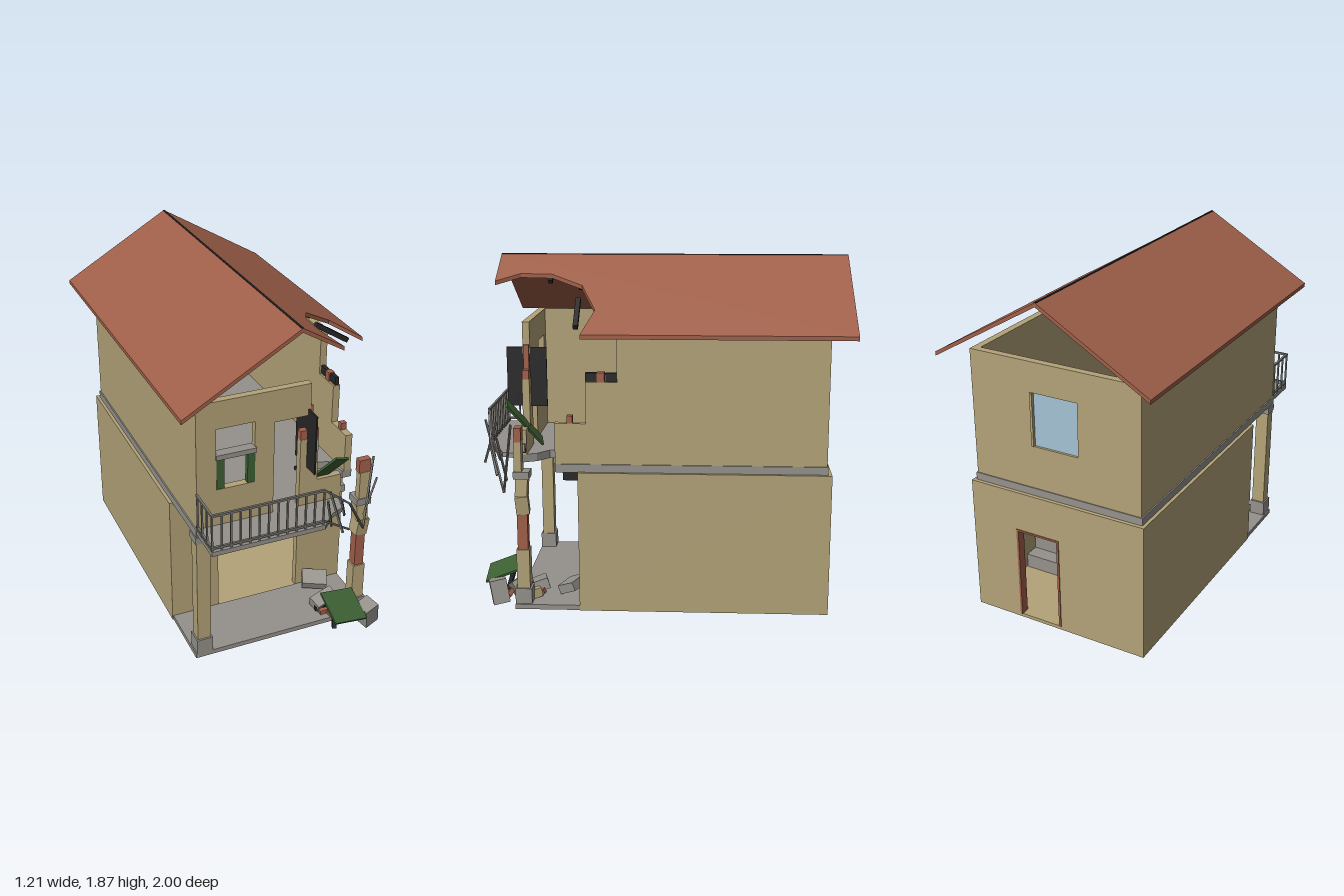
import * as THREE from 'three';

const mat = (name, color, side = THREE.FrontSide) => {
  const m = new THREE.MeshStandardMaterial({ color, side });
  m.name = name;
  return m;
};

export function createModel() {
  const root = new THREE.Group();
  const plaster = mat('plaster', 0xb3a378);
  const tile = mat('roofTile', 0x9f5f49);
  const brick = mat('brick', 0xa3604a);
  const stone = mat('stone', 0x95928c);
  const metal = mat('metal', 0x77756f);
  const green = mat('greenPaint', 0x3d6033);
  const black = mat('charredWood', 0x272727);
  const glass = mat('glass', 0xa5c2d6);

  const add = (name, geo, m) => {
    const mesh = new THREE.Mesh(geo, m);
    mesh.name = name;
    root.add(mesh);
    return mesh;
  };
  // Box given by its ranges on each axis
  const box = (name, m, x0, x1, y0, y1, z0, z1) => {
    const b = add(name, new THREE.BoxGeometry(x1 - x0, y1 - y0, z1 - z0), m);
    b.position.set((x0 + x1) / 2, (y0 + y1) / 2, (z0 + z1) / 2);
    return b;
  };
  // Box given by centre, size and tilt
  const chunk = (name, m, p, s, r) => {
    const b = add(name, new THREE.BoxGeometry(...s), m);
    b.position.set(...p);
    b.rotation.set(...r);
    return b;
  };
  // Square bar between two points
  const bar = (name, m, a, b, w = 0.009, h = w) => {
    const p = new THREE.Vector3(...a), q = new THREE.Vector3(...b);
    const mesh = add(name, new THREE.BoxGeometry(w, h, p.distanceTo(q)), m);
    mesh.position.copy(p).lerp(q, 0.5);
    mesh.lookAt(q);
    return mesh;
  };
  const extrude = (pts, depth, holes = []) => {
    const shape = new THREE.Shape(pts.map(([x, y]) => new THREE.Vector2(x, y)));
    for (const [x0, x1, y0, y1] of holes) {
      shape.holes.push(new THREE.Path([[x0, y0], [x0, y1], [x1, y1], [x1, y0]].map(([x, y]) => new THREE.Vector2(x, y))));
    }
    return new THREE.ExtrudeGeometry(shape, { depth, bevelEnabled: false });
  };
  // Wall facing z, outlined in x and y
  const wallZ = (name, pts, z0, t, holes) => add(name, extrude(pts, t, holes).translate(0, 0, z0), plaster);
  // Horizontal slab, outlined in x and z
  const slab = (pts, y0, t) => extrude(pts.map(([x, z]) => [x, -z]), t).rotateX(-Math.PI / 2).translate(0, y0, 0);

  // Ground floor
  box('groundFloor', plaster, -0.515, 0.515, 0, 0.02, -0.9, 0.43);
  for (const s of [-1, 1]) {
    const x = s * 0.495;
    box('lowerSideWall', plaster, x - 0.02, x + 0.02, 0.02, 0.77, -0.9, 0.43);
  }
  wallZ('lowerFrontWall', [[-0.475, 0.02], [-0.24, 0.02], [-0.24, 0.6], [0.24, 0.6], [0.24, 0.02], [0.475, 0.02], [0.475, 0.77], [-0.475, 0.77]], 0.39, 0.04);
  wallZ('lowerBackWall', [[-0.475, 0.02], [-0.015, 0.02], [-0.015, 0.545], [0.24, 0.545], [0.24, 0.02], [0.475, 0.02], [0.475, 0.77], [-0.475, 0.77]], -0.9, 0.04);
  for (const x of [-0.017, 0.23]) box('backDoorFrame', brick, x, x + 0.012, 0.02, 0.545, -0.905, -0.855);
  box('backDoorHead', brick, -0.017, 0.242, 0.54, 0.55, -0.905, -0.855);
  for (let i = 0; i < 9; i++) {
    box('stairStep', stone, 0.245, 0.47, i * 0.083 + 0.02, (i + 1) * 0.083 + 0.02, -0.5 + i * 0.085, -0.39 + i * 0.085);
  }

  // Porch
  box('porchSlab', stone, -0.51, 0.51, 0, 0.027, 0.43, 0.78);
  for (const x of [-0.458, 0.455]) {
    box('postBase', stone, x - 0.045, x + 0.045, 0, 0.113, 0.69, 0.78);
    box('postCap', stone, x - 0.043, x + 0.043, 0.725, 0.765, 0.69, 0.775);
  }
  box('leftPost', plaster, -0.495, -0.42, 0.11, 0.73, 0.7, 0.77);
  box('porchBeam', stone, -0.42, 0.1, 0.75, 0.785, 0.72, 0.78);
  box('rightPostLower', plaster, 0.42, 0.49, 0.11, 0.33, 0.7, 0.77);
  box('rightPostCore', brick, 0.428, 0.482, 0.33, 0.53, 0.707, 0.763);
  chunk('rightPostShifted', plaster, [0.458, 0.58, 0.735], [0.07, 0.1, 0.07], [0.08, 0.1, -0.1]);
  chunk('rightPostUpper', plaster, [0.453, 0.68, 0.735], [0.065, 0.11, 0.065], [-0.05, 0, 0.06]);
  box('cornerStub', plaster, 0.425, 0.49, 0.765, 0.925, 0.73, 0.77);
  box('cornerStubCore', brick, 0.418, 0.485, 0.925, 1.0, 0.73, 0.768);
  box('cornerBrick', brick, 0.455, 0.488, 1.03, 1.07, 0.455, 0.485);

  // Upper floor, broken at the front right
  add('upperFloor', slab([[-0.497, -0.88], [0.497, -0.88], [0.497, 0.55], [0.44, 0.55], [0.42, 0.43], [0.3, 0.4],
    [0.2, 0.5], [0.21, 0.62], [0.28, 0.68], [0.32, 0.775], [-0.497, 0.775]], 0.768, 0.044), stone);

  // Upper walls
  box('upperLeftWall', plaster, -0.49, -0.45, 0.81, 1.51, -0.875, 0.77);
  add('upperRightWall', extrude([[0.875, 0.81], [-0.55, 0.81], [-0.55, 1.03], [-0.385, 1.03], [-0.385, 1.25],
    [-0.22, 1.25], [-0.22, 1.51], [0.875, 1.51]], 0.04).rotateY(Math.PI / 2).translate(0.45, 0, 0), plaster);
  wallZ('upperBackWall', [[-0.45, 0.81], [0.45, 0.81], [0.45, 1.51], [-0.45, 1.51]], -0.875, 0.04, [[-0.135, 0.135, 1.05, 1.345]]);
  box('backWindowGlass', glass, -0.135, 0.135, 1.05, 1.345, -0.862, -0.855);
  box('backWindowFrame', plaster, 0.125, 0.138, 1.05, 1.345, -0.88, -0.835);
  wallZ('upperFrontWall', [[-0.45, 0.81], [-0.075, 0.81], [-0.075, 1.335], [0.12, 1.335], [0.12, 1.51], [-0.45, 1.51]],
    0.73, 0.04, [[-0.385, -0.18, 1.02, 1.36]]);
  wallZ('brokenFrontWall', [[0.07, 0.81], [0.31, 0.81], [0.31, 0.95], [0.17, 0.95], [0.17, 1.2], [0.07, 1.2]], 0.73, 0.04);
  box('brokenWallBrick', brick, 0.07, 0.17, 1.2, 1.25, 0.732, 0.768);
  box('wallEdgeBrick', brick, 0.115, 0.135, 1.25, 1.385, 0.735, 0.765);
  box('sideWallBrick', brick, 0.453, 0.487, 1.25, 1.3, 0.285, 0.325);
  for (const z of [0.22, 0.325]) box('charredBlock', black, 0.46, 0.482, 1.252, 1.298, z, z + 0.06);

  // Front window with shutters
  box('windowBar', stone, -0.39, -0.175, 1.195, 1.222, 0.73, 0.785);
  for (const x of [-0.385, -0.22]) box('shutter', green, x, x + 0.04, 1.025, 1.195, 0.745, 0.775);

  // Hanging charred panels
  box('upperCharredPanel', black, 0.106, 0.114, 1.04, 1.37, 0.64, 0.86);
  box('lowerCharredPanel', black, -0.004, 0.004, 0.58, 0.74, 0.43, 0.58);

  // Balcony and railing
  add('balconySlab', slab([[-0.495, 0.77], [0.3, 0.77], [0.27, 0.87], [0.2, 0.9], [0.12, 0.98], [-0.495, 0.98]], 0.787, 0.026), stone);
  for (const y of [0.83, 1.015]) {
    bar('frontRail', metal, [-0.495, y, 0.97], [0.11, y, 0.97], 0.012);
    bar('sideRail', metal, [-0.49, y, 0.77], [-0.49, y, 0.975], 0.012);
  }
  for (let i = 0; i <= 12; i++) bar('baluster', metal, [-0.49 + i * 0.05, 0.81, 0.97], [-0.49 + i * 0.05, 1.015, 0.97]);
  for (const z of [0.78, 0.84, 0.905]) bar('sideBaluster', metal, [-0.49, 0.81, z], [-0.49, 1.015, z]);
  // Torn, bent end of the railing
  const torn = [
    [[0.11, 1.015, 0.97], [0.28, 0.87, 0.93]], [[0.28, 0.87, 0.93], [0.42, 0.63, 0.84]],
    [[0.42, 0.63, 0.84], [0.49, 1.02, 0.78]], [[0.12, 0.83, 0.97], [0.3, 0.69, 0.9]],
    [[0.12, 0.96, 0.99], [0.18, 0.76, 0.93]], [[0.17, 0.96, 0.92], [0.22, 0.74, 0.98]],
    [[0.22, 0.92, 0.95], [0.28, 0.77, 0.88]], [[0.43, 0.7, 0.82], [0.47, 0.94, 0.86]],
  ];
  torn.forEach(([a, b]) => bar('tornRail', metal, a, b, 0.01));

  // Roof: flat slabs sheared down from the ridge
  const slope = (name, pts) => {
    const geo = slab(pts, 1.848, 0.022);
    const p = geo.attributes.position;
    for (let i = 0; i < p.count; i++) p.setY(i, p.getY(i) - Math.abs(p.getX(i)) * 0.588);
    geo.computeVertexNormals();
    return add(name, geo, tile);
  };
  slope('leftRoof', [[-0.605, -1], [0, -1], [0, 0.89], [-0.605, 0.89]]);
  slope('rightRoof', [[0, -1], [0.605, -1], [0.605, 0.395], [0.43, 0.335], [0.25, 0.42], [0.165, 0.59], [0.16, 0.76], [0.22, 0.89], [0, 0.89]]);
  box('ridgeLine', black, -0.005, 0.005, 1.85, 1.871, -0.998, 0.888);

  // Broken rafters
  const roofY = x => 1.838 - 0.588 * x;
  for (const [z, x0, x1] of [[0.27, 0, 0.35], [0.43, 0, 0.22], [0.6, 0, 0.17]]) {
    bar('rafter', black, [x0, roofY(x0) + 0.005, z], [x1, roofY(x1) - 0.005, z], 0.022);
  }
  bar('fallenRafter', black, [0.3, 1.655, 0.435], [0.49, 1.535, 0.43], 0.026);
  bar('floorTimber', black, [0.215, 0.825, 0.44], [0.22, 0.9, 0.57], 0.022);
  box('timberEnd', black, 0.32, 0.34, 0.83, 0.85, 0.73, 0.76);
  chunk('looseStone', stone, [0.325, 0.855, 0.75], [0.03, 0.04, 0.03], [0, 0, 0.1]);

  // Fallen shutters
  chunk('upperFallenShutter', green, [0.21, 0.97, 0.755], [0.09, 0.32, 0.012], [0.62, 0, -0.4]);
  chunk('lowerFallenShutter', green, [0.315, 0.165, 0.87], [0.2, 0.012, 0.2], [0.38, 0, -0.16]);

  // Rubble
  chunk('rubble', stone, [0.46, 0.085, 0.875], [0.09, 0.13, 0.09], [0.15, 0.3, 0.15]);
  chunk('rubble', stone, [0.3, 0.07, 0.67], [0.14, 0.06, 0.08], [0.3, 0.25, 0.1]);
  chunk('rubble', stone, [0.33, 0.08, 0.49], [0.14, 0.05, 0.1], [0.4, -0.4, 0.1]);
  chunk('rubble', stone, [0.37, 0.08, 0.78], [0.1, 0.08, 0.08], [0.5, 0.6, 0.2]);
  chunk('plasterRubble', plaster, [0.39, 0.05, 0.69], [0.06, 0.05, 0.06], [0.2, 0.5, 0]);
  [[0.27, 0.73], [0.33, 0.75], [0.38, 0.66], [0.3, 0.77], [0.4, 0.83]].forEach(([x, z], i) =>
    chunk('fallenBrick', brick, [x, 0.045, z], [0.05, 0.025, 0.03], [0.2 * i, 0.7 * i, 0.1]));
  bar('rubbleTimber', black, [0.27, 0.02, 0.86], [0.28, 0.12, 0.83], 0.022);
  bar('rubbleTimber', black, [0.23, 0.05, 0.7], [0.36, 0.06, 0.73], 0.022);

  return root;
}
